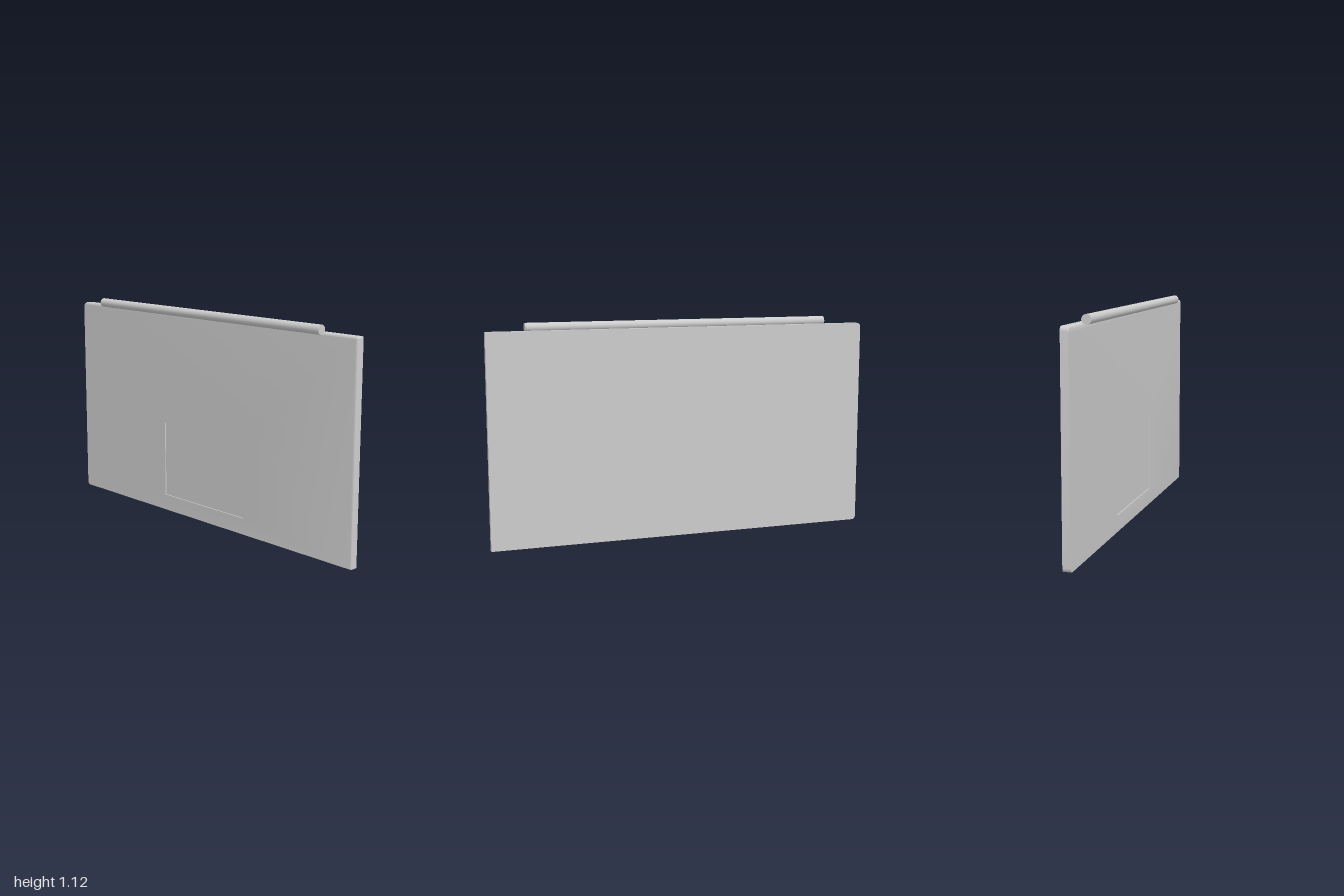
import * as THREE from 'three';
import { toCreasedNormals } from 'three/addons/utils/BufferGeometryUtils.js';

const BACK = -0.037, FRONT = 0.002, TOP = 1.08;
const PAD = { x: 0.3, y0: 0.085, y1: 0.485, depth: 0.006 };

// Plate outline with rounded corners and a rectangular touchpad opening.
function plateShape() {
  const r = 0.02;
  const s = new THREE.Shape();
  s.moveTo(1, 0);
  s.lineTo(1, TOP - r / 2);
  s.quadraticCurveTo(1, TOP, 1 - r / 2, TOP);
  s.lineTo(-1 + r, TOP);
  s.absarc(-1 + r, TOP - r, r, Math.PI / 2, Math.PI, false);
  s.lineTo(-1, r);
  s.absarc(-1 + r, r, r, Math.PI, Math.PI * 1.5, false);
  s.closePath();
  const hole = new THREE.Path();
  hole.moveTo(-PAD.x, PAD.y0);
  hole.lineTo(-PAD.x, PAD.y1);
  hole.lineTo(PAD.x, PAD.y1);
  hole.lineTo(PAD.x, PAD.y0);
  hole.closePath();
  s.holes.push(hole);
  return s;
}

// Extrude the plate, then round its front edge along the top and the +x side.
function plateGeometry() {
  const steps = 6, round = 0.01;
  const geo = new THREE.ExtrudeGeometry(plateShape(), {
    depth: steps, steps, bevelEnabled: false, curveSegments: 6,
  });
  const p = geo.attributes.position;
  for (let i = 0; i < p.count; i++) {
    const k = Math.round(p.getZ(i));
    const a = k === 0 ? 0 : ((k - 1) / (steps - 1)) * Math.PI / 2;
    const inset = round * (1 - Math.cos(a));
    p.setZ(i, k === 0 ? BACK : FRONT - round * (1 - Math.sin(a)));
    if (p.getX(i) > 0.9) p.setX(i, p.getX(i) - inset);
    if (p.getY(i) > 0.9) p.setY(i, p.getY(i) - inset);
  }
  return toCreasedNormals(geo, 0.6);
}

export function createModel() {
  const model = new THREE.Group();
  const material = new THREE.MeshStandardMaterial({ color: 0xcccccc });
  const add = (name, geometry, x, y, z) => {
    const mesh = new THREE.Mesh(geometry, material);
    mesh.name = name;
    mesh.position.set(x, y, z);
    model.add(mesh);
    return mesh;
  };

  add('basePlate', plateGeometry(), 0, 0, 0);

  // Touchpad floor, slightly sunk below the front face
  const thickness = FRONT - PAD.depth - BACK;
  add('touchpad', new THREE.BoxGeometry(PAD.x * 2, PAD.y1 - PAD.y0, thickness),
    0, (PAD.y0 + PAD.y1) / 2, BACK + thickness / 2);

  // Hinge barrel along the top front edge
  const hinge = add('hinge', new THREE.CylinderGeometry(0.0235, 0.0235, 1.6, 40), 0, 1.094, 0.014);
  hinge.rotation.z = Math.PI / 2;

  return model;
}
